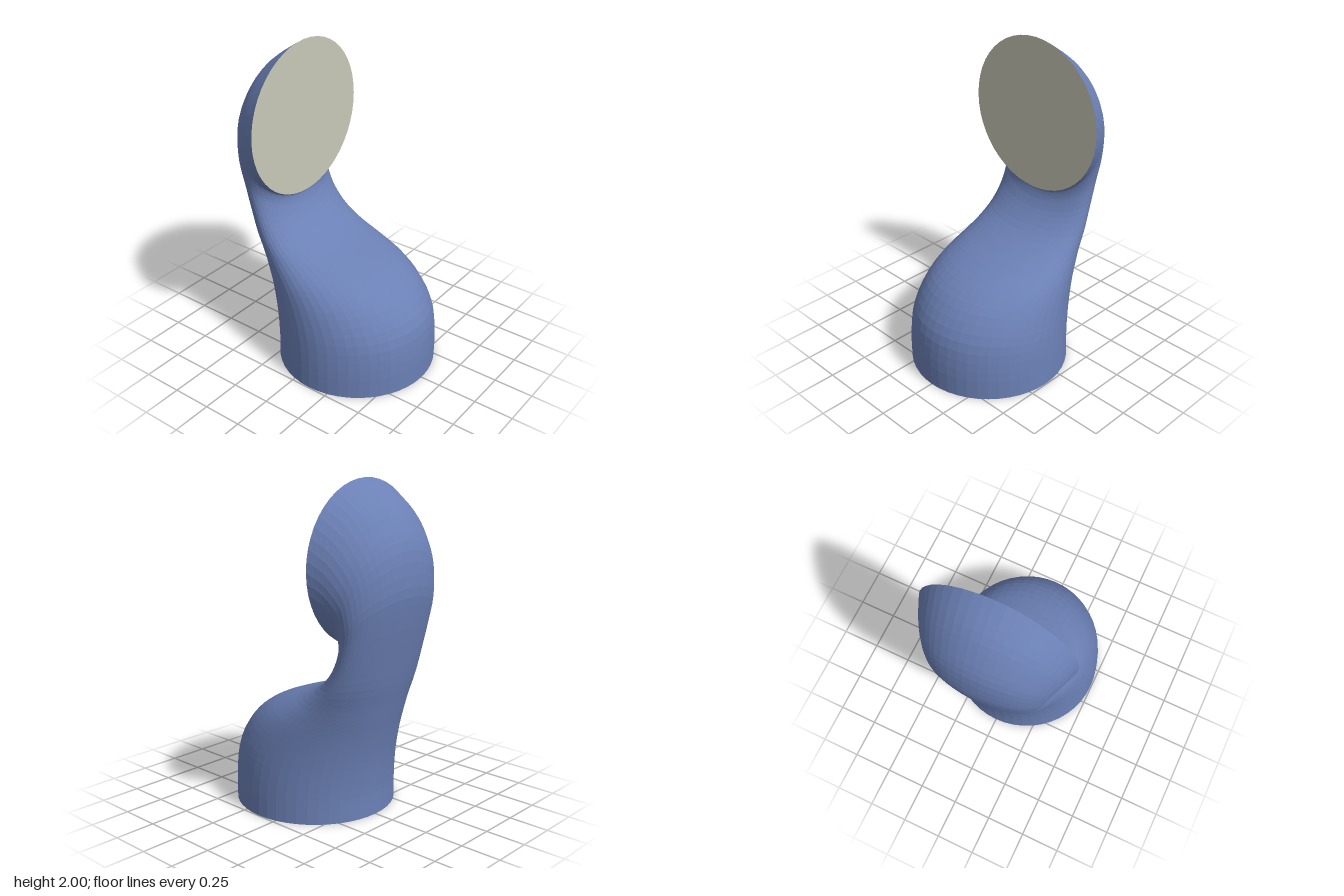
import * as THREE from 'three';

// Cross-sections from base to mouth: front z, front y, back z, back y, half-width
const SECTIONS = [
  [0.62, 0, -0.37, 0, 0.495],
  [0.62, 0.2, -0.37, 0.14, 0.49],
  [0.59, 0.38, -0.382, 0.28, 0.477],
  [0.49, 0.535, -0.4, 0.4, 0.455],
  [0.36, 0.63, -0.425, 0.52, 0.43],
  [0.2, 0.695, -0.45, 0.62, 0.402],
  [0.05, 0.745, -0.475, 0.72, 0.378],
  [-0.1, 0.815, -0.51, 0.85, 0.36],
  [-0.2, 0.9, -0.55, 1.03, 0.347],
  [-0.245, 0.96, -0.595, 1.25, 0.348],
  [-0.262, 0.995, -0.615, 1.42, 0.362],
  [-0.27, 1.02, -0.59, 1.62, 0.385],
  [-0.272, 1.03, -0.52, 1.765, 0.415],
  [-0.27, 1.037, -0.42, 1.89, 0.445],
  [-0.265, 1.04, -0.265, 2.0, 0.48],
];
const SIDES = 48;
const RINGS = (SECTIONS.length - 1) * 3;

// Elliptical rings lofted between a front rail and a back rail
function loftGeometry() {
  const rail = (fn) => new THREE.CatmullRomCurve3(SECTIONS.map(fn), false, 'catmullrom', 0.5);
  const front = rail(([fz, fy, , , w]) => new THREE.Vector3(w, fy, fz));
  const back = rail(([, , bz, by, w]) => new THREE.Vector3(w, by, bz));
  const positions = [];
  const index = [];
  for (let i = 0; i <= RINGS; i++) {
    const f = front.getPoint(i / RINGS);
    const b = back.getPoint(i / RINGS);
    for (let j = 0; j <= SIDES; j++) {
      const a = (j / SIDES) * Math.PI * 2;
      const k = (1 + Math.cos(a)) / 2;
      positions.push(f.x * Math.sin(a), b.y + (f.y - b.y) * k, b.z + (f.z - b.z) * k);
      if (i < RINGS && j < SIDES) {
        const p = i * (SIDES + 1) + j;
        const q = p + SIDES + 1;
        index.push(p, p + 1, q + 1, p, q + 1, q);
      }
    }
  }
  const geometry = new THREE.BufferGeometry();
  geometry.setAttribute('position', new THREE.Float32BufferAttribute(positions, 3));
  geometry.setIndex(index);
  geometry.computeVertexNormals();
  return geometry;
}

export function createModel() {
  const group = new THREE.Group();
  group.name = 'cowlVent';
  const blue = new THREE.MeshStandardMaterial({ color: 0x6b80b5, flatShading: true });
  const beige = new THREE.MeshStandardMaterial({ color: 0xc8c8b8 });

  // Bent tube
  const body = new THREE.Mesh(loftGeometry(), blue);
  body.name = 'body';
  group.add(body);

  // Round face closing the upper end, facing forward
  const face = new THREE.Mesh(new THREE.CircleGeometry(0.48, SIDES), beige);
  face.name = 'mouthFace';
  face.position.set(0, 1.52, -0.265);
  group.add(face);

  // Round underside closing the lower end
  const base = new THREE.Mesh(new THREE.CircleGeometry(0.495, SIDES), beige);
  base.name = 'baseFace';
  base.rotation.x = Math.PI / 2;
  base.position.z = 0.125;
  group.add(base);

  return group;
}
